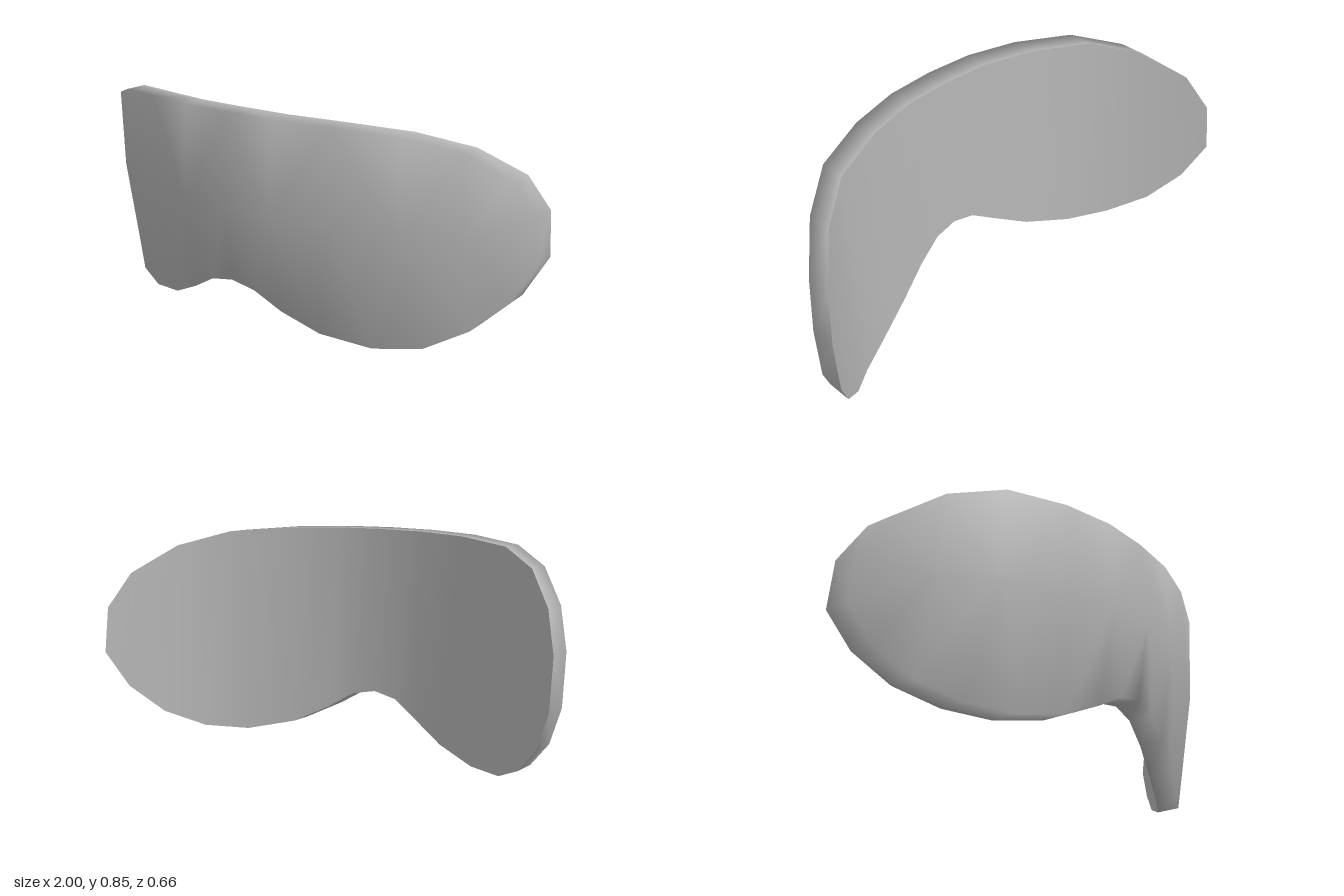
import * as THREE from 'three';
import { mergeVertices } from 'three/addons/utils/BufferGeometryUtils.js';

const DEPTH = 0.1; // thickness of the rim along z

// Back-edge outlines of the left half, from the middle outwards
const top = [[0, 0.855, 0.205], [0.2, 0.853, 0.195], [0.41, 0.847, 0.145], [0.64, 0.827, 0.05],
  [0.81, 0.77, -0.085], [0.94, 0.66, -0.23], [1, 0.52, -0.31]];
const bottom = [[0, 0.2, 0.178], [0.1, 0.18, 0.172], [0.21, 0.115, 0.15], [0.35, 0.045, 0.1], [0.53, 0.005, 0.02],
  [0.69, 0.015, -0.07], [0.82, 0.08, -0.18], [0.93, 0.19, -0.27], [1, 0.335, -0.333]];
// Crest of the bulge across the front
const crest = [[0, 0.5, 0.329], [0.2, 0.5, 0.314], [0.42, 0.49, 0.25], [0.64, 0.47, 0.137], [0.82, 0.45, -0.01]];

const forward = (row) => row.map(([x, y, z]) => [x, y, z + DEPTH]);

// Fill between an upper and a lower row, facing +z
function zip(upper, lower) {
  const tris = [];
  let i = 0, j = 0;
  while (i < upper.length - 1 || j < lower.length - 1) {
    const nextUp = i < upper.length - 1 ? upper[i + 1][0] : Infinity;
    const nextLow = j < lower.length - 1 ? lower[j + 1][0] : Infinity;
    if (nextUp < nextLow) {
      tris.push([upper[i], lower[j], upper[i + 1]]);
      i++;
    } else {
      tris.push([upper[i], lower[j], lower[j + 1]]);
      if (nextLow === Infinity) break;
      j++;
    }
  }
  return tris;
}

// Mirror the half across x = 0 and smooth the joined surface
function mirrored(tris) {
  const flip = ([x, y, z]) => [-x, y, z];
  const all = tris.concat(tris.map(([a, b, c]) => [flip(a), flip(c), flip(b)]));
  const geo = new THREE.BufferGeometry();
  geo.setAttribute('position', new THREE.Float32BufferAttribute(all.flat(2).map((v) => v + 0), 3));
  const merged = mergeVertices(geo, 1e-4);
  merged.computeVertexNormals();
  return merged;
}

export function createModel() {
  const group = new THREE.Group();
  group.name = 'visor';
  const grey = new THREE.MeshStandardMaterial({ color: 0xb4b4b4 });
  grey.name = 'grey';

  // Bulged front with its rim wall
  const frontTop = forward(top), frontBottom = forward(bottom);
  const shell = [...zip(frontTop, crest), ...zip(crest, frontBottom),
    [crest.at(-1), frontBottom.at(-1), frontTop.at(-1)]];
  const rim = [...top, ...bottom.slice().reverse()];
  const frontRim = forward(rim);
  for (let i = 0; i < rim.length - 1; i++) {
    shell.push([rim[i], frontRim[i], frontRim[i + 1]], [rim[i], frontRim[i + 1], rim[i + 1]]);
  }
  const front = new THREE.Mesh(mirrored(shell), grey);
  front.name = 'frontShell';

  // Curved inner face, turned to -z
  const inner = zip(top, bottom).map(([a, b, c]) => [a, c, b]);
  const back = new THREE.Mesh(mirrored(inner), grey);
  back.name = 'innerFace';

  group.add(front, back);
  return group;
}
